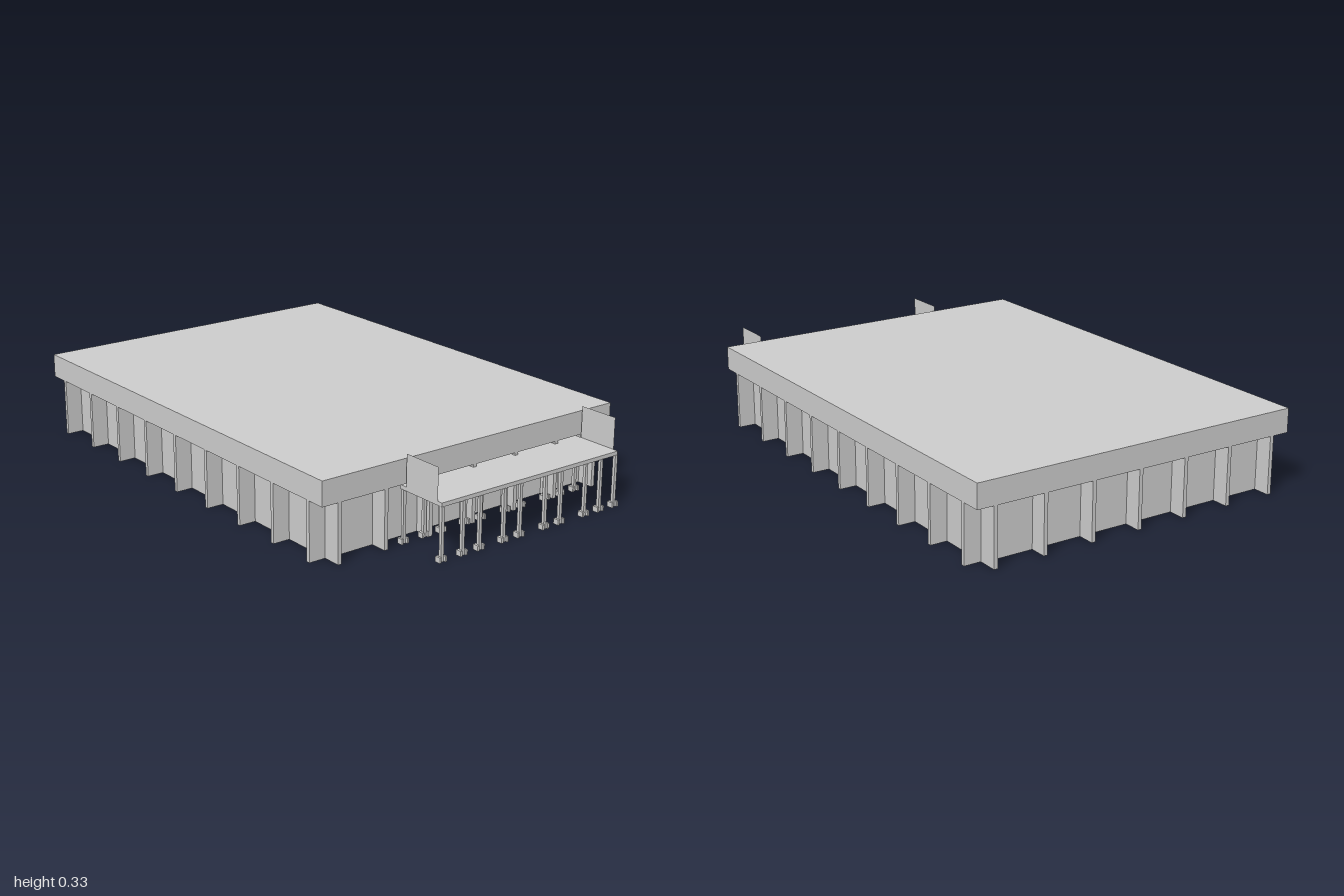
import * as THREE from 'three';

const grey = new THREE.MeshStandardMaterial({ color: 0xcccccc, flatShading: true });
const thin = new THREE.MeshStandardMaterial({ color: 0xcccccc, flatShading: true, side: THREE.DoubleSide });

// Box given by its lower and upper corners
function box(parent, name, [x0, y0, z0], [x1, y1, z1]) {
  const mesh = new THREE.Mesh(new THREE.BoxGeometry(x1 - x0, y1 - y0, z1 - z0), grey);
  mesh.position.set((x0 + x1) / 2, (y0 + y1) / 2, (z0 + z1) / 2);
  mesh.name = name;
  parent.add(mesh);
  return mesh;
}

function group(parent, name) {
  const g = new THREE.Group();
  g.name = name;
  parent.add(g);
  return g;
}

export function createModel() {
  const model = new THREE.Group();
  model.name = 'hall';

  const X = 0.667, back = -1, front = 0.803; // roof outline
  const soffit = 0.222, roofTop = 0.314;
  const inset = 0.066, wall = 0.006, fin = 0.015;
  const wx = X - inset, wb = back + inset, wf = front - inset;

  // Flat roof slab
  box(model, 'roof', [-X, soffit, back], [X, roofTop, front]);

  // Four thin walls, open underneath
  const walls = group(model, 'walls');
  box(walls, 'frontWall', [-wx, 0, wf - wall], [wx, soffit, wf]);
  box(walls, 'backWall', [-wx, 0, wb], [wx, soffit, wb + wall]);
  for (const s of [-1, 1]) {
    const a = s * wx, b = s * (wx - wall);
    box(walls, 'sideWall', [Math.min(a, b), 0, wb], [Math.max(a, b), soffit, wf]);
  }

  // Upright fins reaching from the walls to the roof edge
  const fins = group(model, 'fins');
  const depth = inset + wall + 0.003;
  for (let i = 0; i < 7; i++) {
    const x = -0.594 + i * 0.198;
    box(fins, 'frontFin', [x - fin / 2, 0, front - depth], [x + fin / 2, soffit, front]);
    box(fins, 'backFin', [x - fin / 2, 0, back], [x + fin / 2, soffit, back + depth]);
  }
  for (let i = 0; i < 9; i++) {
    const z = 0.724 - i * 0.205;
    box(fins, 'leftFin', [X - depth, 0, z - fin / 2], [X, soffit, z + fin / 2]);
    box(fins, 'rightFin', [-X, 0, z - fin / 2], [-X + depth, soffit, z + fin / 2]);
  }

  // Entrance canopy with a paper-thin upright plate at each end
  const canopy = group(model, 'canopy');
  const cx0 = -0.315, cx1 = 0.515;
  box(canopy, 'canopyDeck', [cx0, 0.197, front - 0.025], [cx1, 0.212, 0.992]);
  for (const x of [cx0, cx1]) {
    const plate = new THREE.Mesh(new THREE.PlaneGeometry(0.163, 0.135), thin);
    plate.rotation.y = Math.PI / 2;
    plate.position.set(x, 0.265, 0.89);
    plate.name = 'endPlate';
    canopy.add(plate);
  }

  // Two rows of slim posts, each standing in a forked foot
  const posts = group(model, 'posts');
  const xs = [-0.31, -0.218, -0.141, -0.031, 0.045, 0.163, 0.238, 0.359, 0.434, 0.508];
  for (const z of [0.79, 0.988]) {
    for (const x of xs) {
      box(posts, 'post', [x - 0.006, 0, z - 0.006], [x + 0.006, 0.198, z + 0.006]);
      box(posts, 'footBack', [x - 0.016, 0, z - 0.012], [x + 0.016, 0.02, z - 0.005]);
      for (const s of [-1, 1]) {
        box(posts, 'footProng', [x + s * 0.012 - 0.004, 0, z - 0.006], [x + s * 0.012 + 0.004, 0.02, z + 0.012]);
      }
    }
  }
  return model;
}
